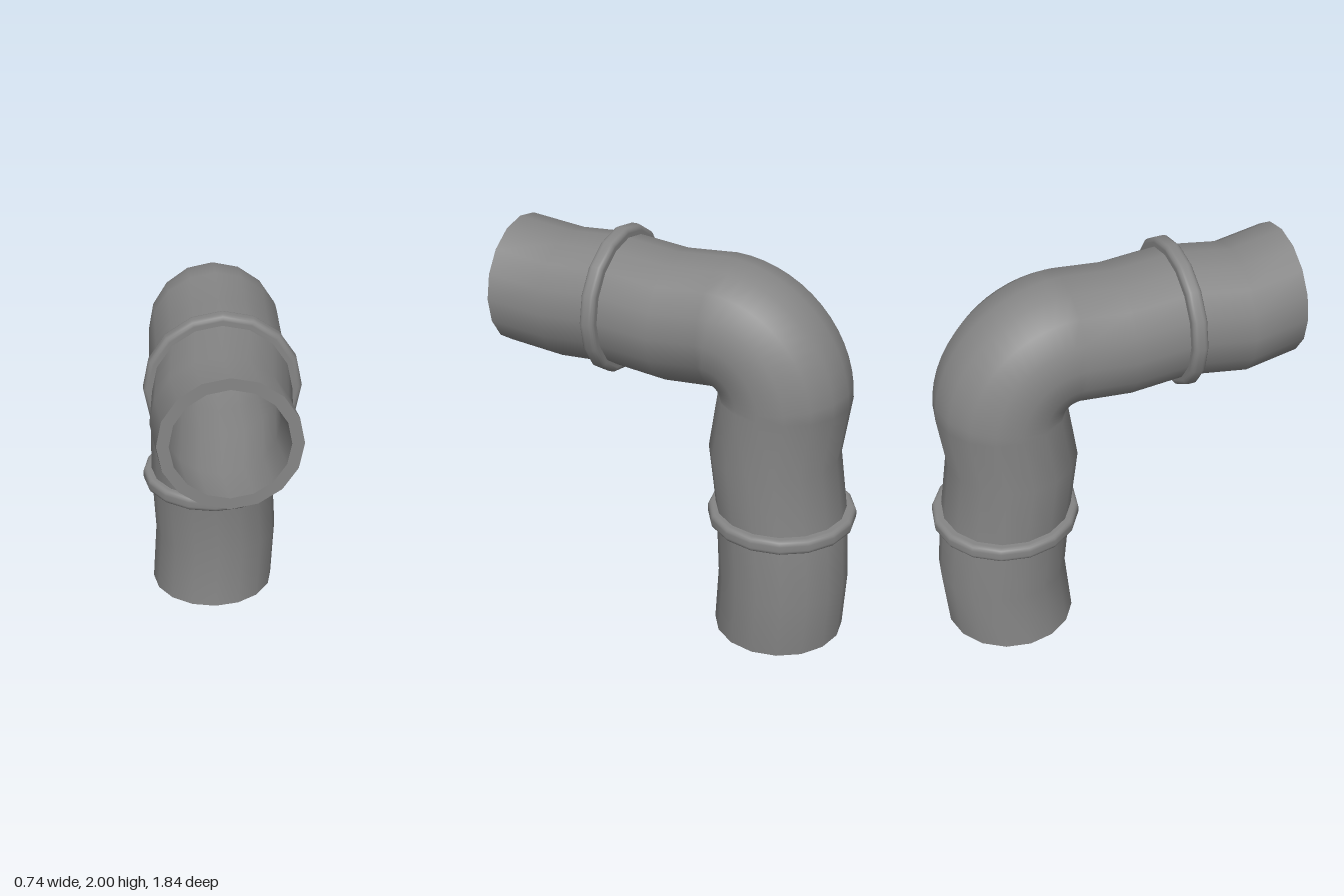
import * as THREE from 'three';

const SIDES = 16;
const OUTER = 0.326;
const INNER = 0.27;
const BEND = 0.326;
const BEND_STEPS = 14;

// Stations along the pipe: [x, y, z, angle], angle 0 = running up, PI/2 = running forward
function pipeStations() {
  const up = 0, fwd = Math.PI / 2;
  const stations = [
    [0, 0, -0.547, up],
    [0.02, 0.31, -0.573, up],
    [0, 0.655, -0.547, up],
    [0, 1.0, -0.501, up],
  ];
  for (let i = 0; i <= BEND_STEPS; i++) {
    const a = (i / BEND_STEPS) * fwd;
    stations.push([0, 1.304 + BEND * Math.sin(a), -0.221 - BEND * Math.cos(a), a]);
  }
  stations.push(
    [0, 1.605, 0.04, fwd],
    [0, 1.63, 0.342, fwd],
    [-0.022, 1.595, 0.64, fwd],
    [0, 1.63, 0.92, fwd],
  );
  return stations;
}

// Tube wall of circular sections; inward = true faces the bore
function wallGeometry(stations, radius, inward) {
  const positions = [], index = [];
  stations.forEach(([x, y, z, a], i) => {
    for (let j = 0; j < SIDES; j++) {
      const t = (j / SIDES) * Math.PI * 2;
      const s = radius * Math.sin(t);
      positions.push(x + radius * Math.cos(t), y + s * Math.sin(a), z - s * Math.cos(a));
      if (i === stations.length - 1) continue;
      const k = (j + 1) % SIDES;
      const p = i * SIDES + j, q = i * SIDES + k;
      const r = p + SIDES, w = q + SIDES;
      if (inward) index.push(p, r, q, q, r, w);
      else index.push(p, q, r, q, w, r);
    }
  });
  const geometry = new THREE.BufferGeometry();
  geometry.setAttribute('position', new THREE.Float32BufferAttribute(positions, 3));
  geometry.setIndex(index);
  geometry.computeVertexNormals();
  return geometry;
}

// Rounded band around the pipe, axis along y
function collarGeometry() {
  const half = 0.039, rim = 0.37, inner = 0.3, round = 0.026;
  const points = [new THREE.Vector2(inner, -half)];
  for (const side of [-1, 1]) {
    for (let i = 0; i <= 4; i++) {
      const a = side < 0 ? -Math.PI / 2 + (i * Math.PI) / 8 : (i * Math.PI) / 8;
      points.push(new THREE.Vector2(
        rim - round + round * Math.cos(a),
        side * (half - round) + round * Math.sin(a),
      ));
    }
  }
  points.push(new THREE.Vector2(inner, half));
  return new THREE.LatheGeometry(points, SIDES);
}

export function createModel() {
  const group = new THREE.Group();
  const material = new THREE.MeshStandardMaterial({ color: 0x858585 });
  const add = (name, geometry, x = 0, y = 0, z = 0, tilt = 0) => {
    const mesh = new THREE.Mesh(geometry, material);
    mesh.name = name;
    mesh.position.set(x, y, z);
    mesh.rotation.x = tilt;
    group.add(mesh);
  };

  // Pipe walls
  const stations = pipeStations();
  add('pipeOuterWall', wallGeometry(stations, OUTER, false));
  add('pipeInnerWall', wallGeometry(stations, INNER, true));

  // Flat rims at the open ends
  const rim = new THREE.RingGeometry(INNER, OUTER, SIDES);
  add('lowerRim', rim, 0, 0, -0.547, Math.PI / 2);
  add('frontRim', rim, 0, 1.63, 0.92);

  // Joint collars
  const collar = collarGeometry();
  add('lowerCollar', collar, 0, 0.655, -0.547);
  add('frontCollar', collar, 0, 1.63, 0.342, Math.PI / 2);

  return group;
}
